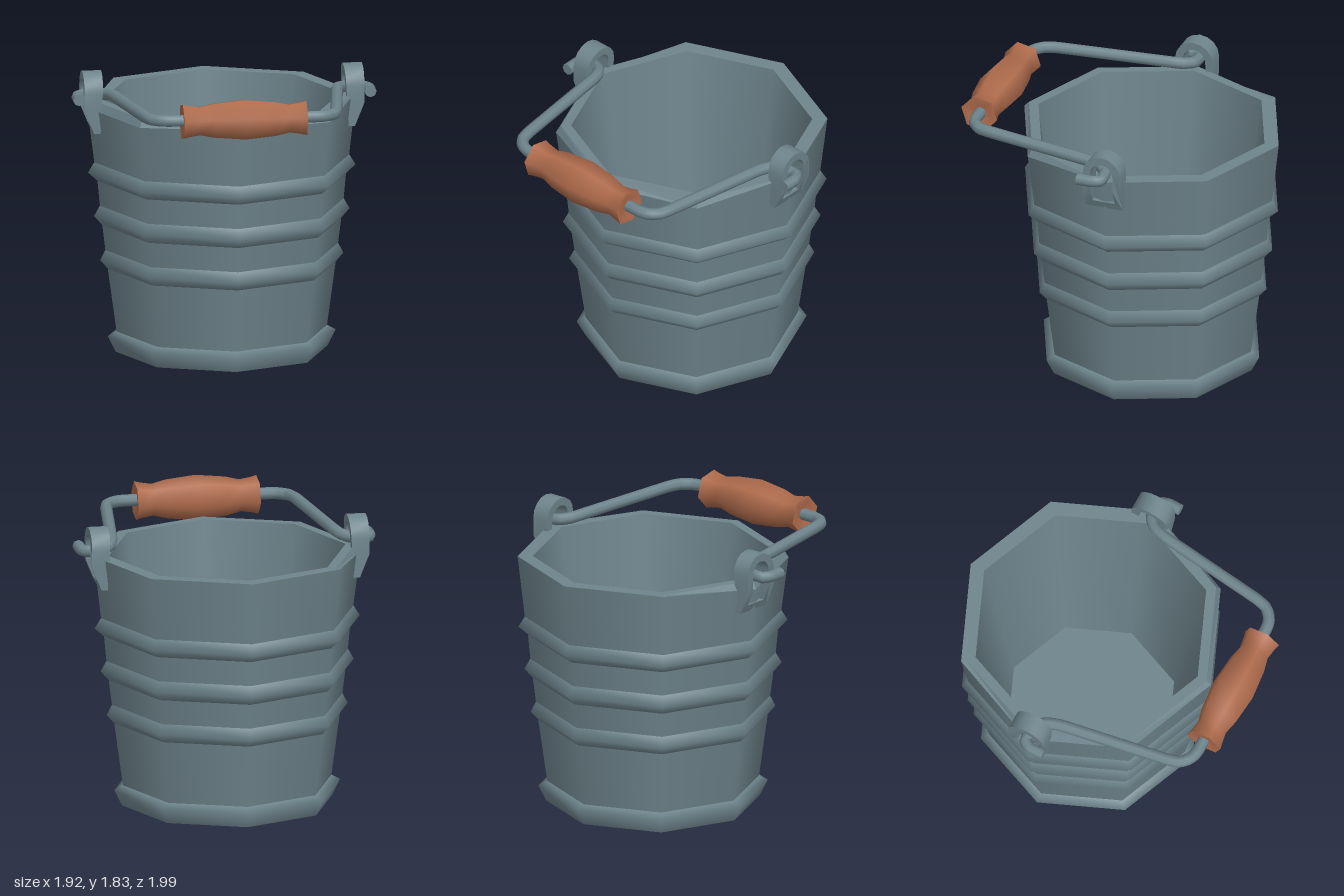
import * as THREE from 'three';
import { toCreasedNormals } from 'three/addons/utils/BufferGeometryUtils.js';

const CENTER_Z = -0.145; // bucket axis

const metal = new THREE.MeshStandardMaterial({ color: 0x6e848c });
metal.name = 'blue grey metal';
const wood = new THREE.MeshStandardMaterial({ color: 0xb06c4c });
wood.name = 'brown wood';

function lathe(profile, sides = 8, start = 0) {
  return new THREE.LatheGeometry(profile.map(([r, y]) => new THREE.Vector2(r, y)), sides, start);
}

function editVertices(geometry, rule) {
  const p = geometry.attributes.position;
  const v = new THREE.Vector3();
  for (let i = 0; i < p.count; i++) {
    v.fromBufferAttribute(p, i);
    rule(v);
    p.setXYZ(i, v.x, v.y, v.z);
  }
  return geometry;
}

function flat(geometry) {
  const g = geometry.toNonIndexed();
  g.computeVertexNormals();
  return g;
}

// The outer rim edge is worn down at the front and on one side
function wearRim(v) {
  if (v.y < 1.6 || Math.hypot(v.x, v.z) < 0.84) return;
  if (v.z > 0.8) v.y = 1.59;
  else if (v.z > 0.3 || v.x < -0.8) v.y = 1.57;
}

// Open loop bracket, thick at the top and thin at the foot
function bracketGeometry() {
  const s = new THREE.Shape();
  s.moveTo(-0.125, 1.43);
  s.lineTo(0.125, 1.43);
  s.lineTo(0.125, 1.58);
  s.lineTo(0.125, 1.685);
  s.absarc(0, 1.685, 0.125, 0, Math.PI, false);
  s.lineTo(-0.125, 1.58);
  const h = new THREE.Path();
  h.moveTo(-0.075, 1.48);
  h.lineTo(-0.075, 1.58);
  h.lineTo(-0.075, 1.685);
  h.absarc(0, 1.685, 0.075, Math.PI, 0, true);
  h.lineTo(0.075, 1.58);
  h.lineTo(0.075, 1.48);
  s.holes.push(h);
  const g = new THREE.ExtrudeGeometry(s, { depth: 1, bevelEnabled: false, curveSegments: 4 });
  g.rotateY(Math.PI / 2);
  editVertices(g, (v) => {
    const inner = THREE.MathUtils.mapLinear(v.y, 1.43, 1.81, 0.783, 0.763);
    const outer = THREE.MathUtils.lerp(0.823, 0.884, Math.min(1, (v.y - 1.43) / 0.15));
    v.x = v.x > 0.5 ? outer : inner;
  });
  return toCreasedNormals(g, 0.6);
}

export function createModel() {
  const model = new THREE.Group();
  model.name = 'bucket';
  const add = (name, geometry, material, parent = model) => {
    const mesh = new THREE.Mesh(geometry, material);
    mesh.name = name;
    parent.add(mesh);
    return mesh;
  };

  // Octagonal shell: walls and raised hoops as separate smooth strips
  const shell = new THREE.Group();
  shell.name = 'shell';
  shell.position.z = CENTER_Z;
  model.add(shell);
  const walls = [
    [[0.665, 0.13], [0.72, 0.535]],
    [[0.735, 0.655], [0.755, 0.815]],
    [[0.77, 0.94], [0.785, 1.1]],
    [[0.805, 1.22], [0.85, 1.62]],
  ];
  walls.forEach((p) => add('wall', editVertices(lathe(p), wearRim), metal, shell));
  const hoops = [
    [[0.67, 0], [0.72, 0.1], [0.665, 0.13]],
    [[0.72, 0.535], [0.768, 0.59], [0.735, 0.655]],
    [[0.755, 0.815], [0.807, 0.875], [0.77, 0.94]],
    [[0.785, 1.1], [0.845, 1.155], [0.805, 1.22]],
  ];
  hoops.forEach((p) => add('hoop', lathe(p), metal, shell));
  const rim = editVertices(lathe([[0.85, 1.62], [0.82, 1.62], [0.755, 1.62]]), wearRim);
  add('rim', flat(rim), metal, shell);
  add('innerWall', lathe([[0.755, 1.62], [0.545, 0.12]]), metal, shell);
  add('floor', lathe([[0.545, 0.12], [0, 0.12]]), metal, shell);
  add('underside', lathe([[0, 0], [0.67, 0]]), metal, shell);

  // Brackets on both sides
  for (const turn of [0, Math.PI]) {
    const bracket = add('bracket', bracketGeometry(), metal);
    bracket.rotation.y = turn;
    bracket.position.z = CENTER_Z + 0.005;
  }

  // Wire bail, hooked through the brackets at each end
  const half = [
    [0.92, 1.655, 0.005], [0.92, 1.655, -0.1], [0.89, 1.655, -0.14], [0.79, 1.66, -0.135],
    [0.735, 1.67, -0.08], [0.705, 1.68, 0.02], [0.605, 1.7, 0.7], [0.58, 1.7, 0.79],
    [0.53, 1.7, 0.835], [0.45, 1.7, 0.855],
  ];
  const points = [...half, ...half.map(([x, y, z]) => [-x, y, z]).reverse()]
    .map((p) => new THREE.Vector3(...p));
  const path = new THREE.CatmullRomCurve3(points, false, 'catmullrom', 0.15);
  add('bail', new THREE.TubeGeometry(path, 120, 0.038, 8), metal);
  for (const side of [-1, 1]) {
    const cap = add('hookEnd', new THREE.CircleGeometry(0.038, 8), metal);
    cap.position.set(side * 0.92, 1.655, 0.005);
  }

  // Six-sided turned wooden grip
  const grip = new THREE.Group();
  grip.name = 'grip';
  grip.position.set(0, 1.695, 0.86);
  grip.rotation.z = -Math.PI / 2;
  model.add(grip);
  const side = [[0.122, 0.39], [0.112, 0.355], [0.1, 0.28], [0.122, 0.19], [0.142, 0]];
  const profile = [...side.map(([r, y]) => [r, -y]), ...side.slice(0, -1).reverse()];
  add('gripBody', lathe(profile, 6, -1.26), wood, grip);
  add('gripEnd', lathe([[0.122, 0.39], [0.09, 0.39], [0, 0.37]], 6, -1.26), wood, grip);
  add('gripEnd', lathe([[0, -0.37], [0.09, -0.39], [0.122, -0.39]], 6, -1.26), wood, grip);

  return model;
}
